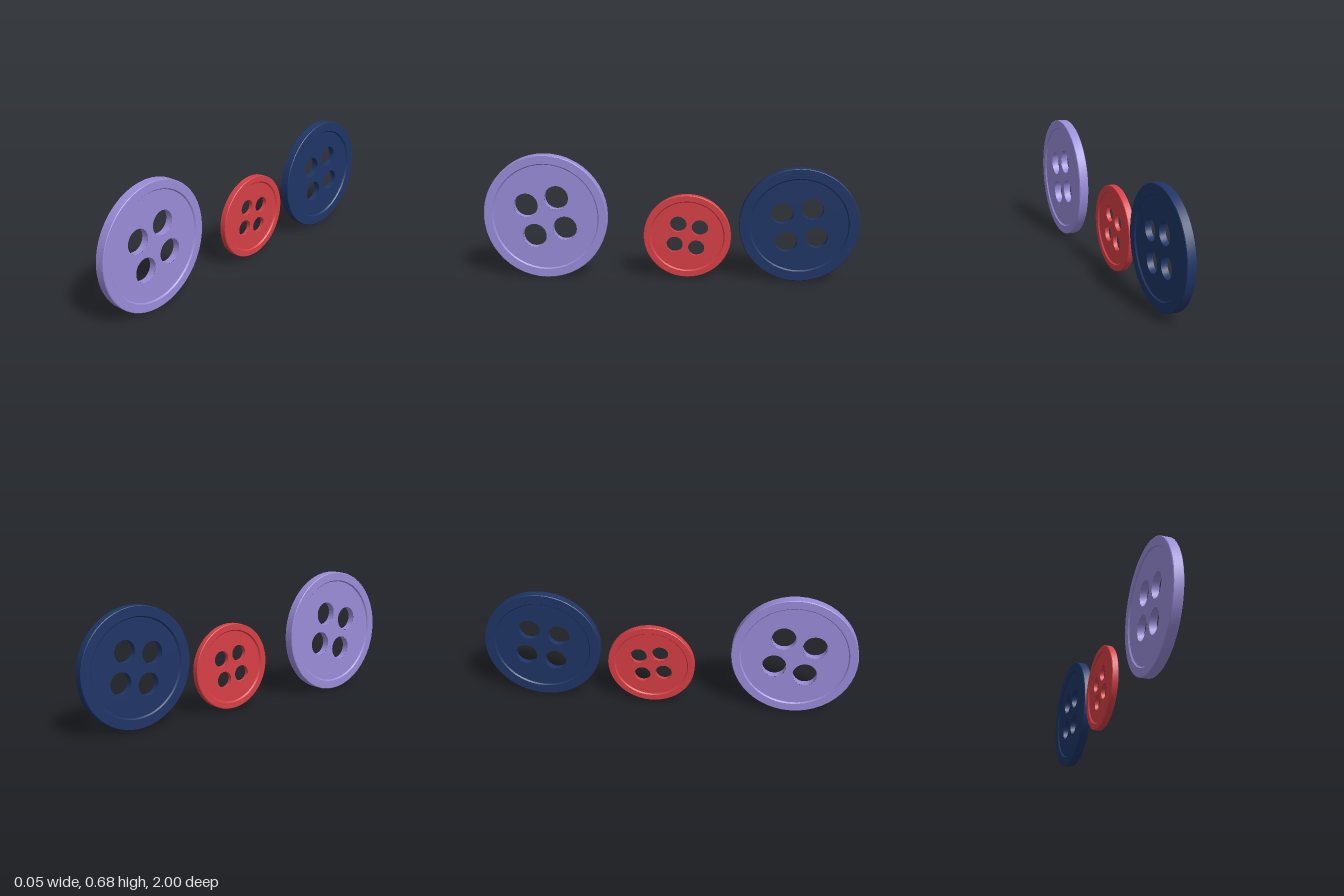
import * as THREE from 'three';
import { toCreasedNormals } from 'three/addons/utils/BufferGeometryUtils.js';

const SEG = 48;

// Surface of revolution about z, from [radius, z] points
function turned(points, segments) {
  const lathe = new THREE.LatheGeometry(points.map(([r, z]) => new THREE.Vector2(r, z)), segments);
  return toCreasedNormals(lathe.rotateX(Math.PI / 2), 0.5);
}

// Four-hole sewing button, facing +z, with a raised rim on both sides
function createButton({ name, color, radius, inner, half, hole, spread, angle }) {
  const button = new THREE.Group();
  button.name = name;
  const material = new THREE.MeshStandardMaterial({ color });
  const add = (part, geometry) => {
    const mesh = new THREE.Mesh(geometry, material);
    mesh.name = part;
    button.add(mesh);
    return mesh;
  };

  const web = half - 0.007; // half thickness of the sunken middle
  const bevel = 0.003;

  // Raised rim with softened edges
  add('rim', turned([
    [inner, -web], [inner + 0.006, -half],
    [radius - bevel, -half], [radius, -half + bevel],
    [radius, half - bevel], [radius - bevel, half],
    [inner + 0.006, half], [inner, web],
  ], SEG));

  // Sunken disc pierced by four holes
  const disc = new THREE.Shape().absarc(0, 0, inner, 0, Math.PI * 2);
  const wall = turned([[hole, web], [hole, -web]], 24);
  for (let i = 0; i < 4; i++) {
    const a = THREE.MathUtils.degToRad(angle + i * 90);
    const x = spread * Math.cos(a), y = spread * Math.sin(a);
    disc.holes.push(new THREE.Path().absarc(x, y, hole, 0, Math.PI * 2, true));
    add('holeWall', wall).position.set(x, y, 0);
  }
  const face = new THREE.ShapeGeometry(disc, SEG);
  add('frontFace', face).position.z = web;
  const back = add('backFace', face.clone().scale(-1, 1, 1).rotateY(Math.PI));
  back.position.z = -web;
  // Mirroring flips the winding, so restore it to face outward
  const index = back.geometry.index.array;
  const normal = back.geometry.attributes.normal;
  for (let i = 0; i < index.length; i += 3) [index[i], index[i + 1]] = [index[i + 1], index[i]];
  for (let i = 0; i < normal.count; i++) normal.setXYZ(i, 0, 0, -1);

  button.rotation.y = Math.PI / 2;
  return button;
}

export function createModel() {
  const model = new THREE.Group();
  model.name = 'buttons';
  const specs = [
    { name: 'largeLilacButton', color: 0x9a8cd9, radius: 0.332, inner: 0.281, half: 0.026,
      hole: 0.064, spread: 0.12, angle: 59.5, at: [0.001, 0.34, 0.668], stretch: 1.02 },
    { name: 'smallRedButton', color: 0xd63f45, radius: 0.234, inner: 0.194, half: 0.018,
      hole: 0.044, spread: 0.083, angle: 35.5, at: [-0.01, 0.239, -0.09], stretch: 0.975 },
    { name: 'mediumNavyButton', color: 0x1f3566, radius: 0.317, inner: 0.257, half: 0.024,
      hole: 0.059, spread: 0.114, angle: 54, at: [-0.001, 0.314, -0.683], stretch: 0.973 },
  ];
  for (const spec of specs) {
    const button = createButton(spec);
    button.position.set(...spec.at);
    button.scale.y = spec.stretch;
    model.add(button);
  }
  return model;
}
